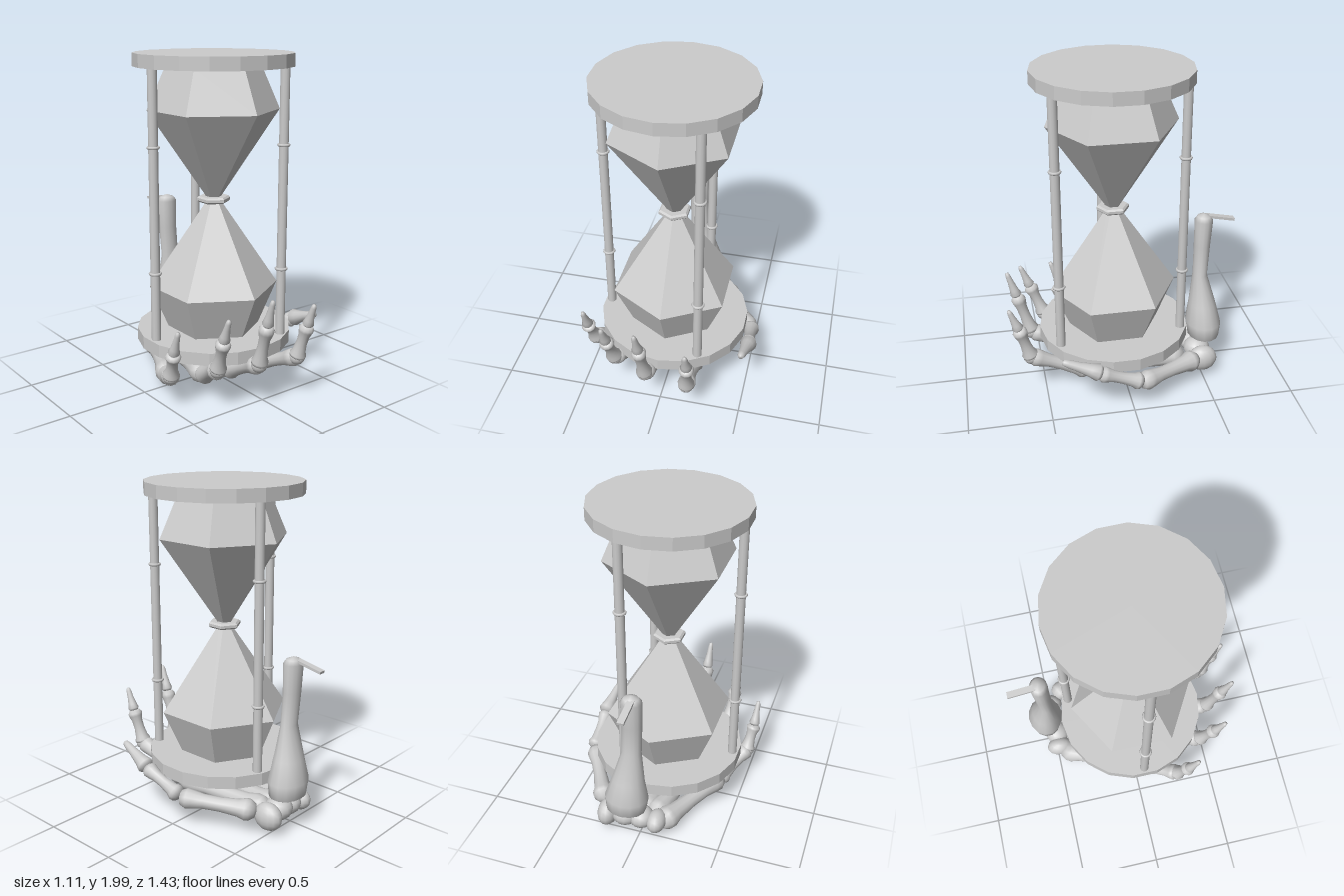
import * as THREE from 'three';
import { mergeVertices } from 'three/addons/utils/BufferGeometryUtils.js';

const CX = -0.01, CZ = 0.04; // axis of the hourglass
const UP = new THREE.Vector3(0, 1, 0);
const smoothMat = new THREE.MeshStandardMaterial({ color: 0xcccccc });
const flatMat = new THREE.MeshStandardMaterial({ color: 0xcccccc, flatShading: true });

function add(parent, name, geometry, material, x = 0, y = 0, z = 0) {
  const mesh = new THREE.Mesh(geometry, material);
  mesh.name = name;
  mesh.position.set(x, y, z);
  parent.add(mesh);
  return mesh;
}

const lathe = (profile, sides) =>
  new THREE.LatheGeometry(profile.map(([r, y]) => new THREE.Vector2(r, y)), sides);

// Bone profiles as [radius factor, fraction of length]
const LONG_BONE = [[0, -0.05], [0.75, -0.03], [1.15, 0.04], [1.2, 0.1], [0.95, 0.2], [0.78, 0.45],
  [0.8, 0.68], [1.02, 0.84], [1.1, 0.92], [0.8, 1], [0, 1.03]];
const TIP_BONE = [[0, 0], [0.8, 0.02], [1.1, 0.1], [0.85, 0.28], [0.6, 0.6], [0.5, 0.85], [0.35, 0.97], [0, 1]];

function bone(parent, name, from, to, radius, profile = LONG_BONE) {
  const a = new THREE.Vector3(...from), dir = new THREE.Vector3(...to).sub(a);
  const length = dir.length();
  const mesh = add(parent, name, lathe(profile.map(([r, t]) => [r * radius, t * length]), 12), smoothMat, ...from);
  mesh.quaternion.setFromUnitVectors(UP, dir.normalize());
}

function knuckle(parent, name, at, radius, sx = 1, sy = 1, sz = 1) {
  add(parent, name, new THREE.SphereGeometry(radius, 14, 10), smoothMat, ...at).scale.set(sx, sy, sz);
}

function buildHourglass() {
  const g = new THREE.Group();
  g.name = 'hourglass';
  g.position.set(CX, 0, CZ);

  // End plates
  for (const [name, y] of [['basePlate', 0.303], ['topPlate', 1.96]]) {
    add(g, name, new THREE.CylinderGeometry(0.47, 0.47, 0.076, 18), flatMat, 0, y, 0).rotation.y = Math.PI;
  }

  // Six-sided bulbs meeting at the neck
  add(g, 'lowerBulb', lathe([[0, 0.342], [0.28, 0.342], [0.392, 0.605], [0.035, 1.138]], 6), flatMat);
  add(g, 'upperBulb', lathe([[0.035, 1.138], [0.392, 1.67], [0.28, 1.922], [0, 1.922]], 6), flatMat);
  add(g, 'neckRing', lathe([[0.05, 1.12], [0.088, 1.12], [0.1, 1.13], [0.1, 1.146], [0.088, 1.156], [0.05, 1.156], [0.05, 1.12]], 6), flatMat);

  // Three posts, each with two collars
  for (const [x, z] of [[-0.425, 0], [0.224, 0.365], [0.155, -0.4]]) {
    const post = new THREE.Group();
    post.name = 'post';
    post.position.set(x, 0, z);
    add(post, 'postShaft', new THREE.CylinderGeometry(0.028, 0.028, 1.6, 12), smoothMat, 0, 1.13, 0);
    for (const y of [0.75, 1.487]) {
      add(post, 'postCollar', new THREE.TorusGeometry(0.03, 0.009, 6, 14), smoothMat, 0, y, 0).rotation.x = Math.PI / 2;
    }
    g.add(post);
  }
  return g;
}

function buildHand() {
  const g = new THREE.Group();
  g.name = 'skeletonHand';

  // Each finger: wrist end, knuckle, middle joint, last joint, tip
  const fingers = {
    indexFinger: [[0.09, 0.08, -0.38], [0.17, 0.105, 0.24], [0.185, 0.26, 0.59], [0.2, 0.47, 0.655], [0.2, 0.615, 0.71]],
    middleFinger: [[0.01, 0.075, -0.38], [-0.03, 0.105, 0.22], [-0.08, 0.27, 0.56], [-0.092, 0.53, 0.64], [-0.1, 0.7, 0.695]],
    ringFinger: [[-0.06, 0.08, -0.4], [-0.19, 0.1, 0.18], [-0.3, 0.26, 0.46], [-0.322, 0.46, 0.54], [-0.33, 0.61, 0.6]],
    littleFinger: [[-0.13, 0.09, -0.45], [-0.36, 0.095, 0.04], [-0.485, 0.2, 0.26], [-0.51, 0.36, 0.325], [-0.517, 0.515, 0.385]],
  };
  for (const [name, [w, k, m, l, tip]] of Object.entries(fingers)) {
    const finger = new THREE.Group();
    finger.name = name;
    bone(finger, 'metacarpal', w, k, 0.062);
    bone(finger, 'proximalPhalanx', k, m, 0.05);
    knuckle(finger, 'middleJoint', m, 0.048);
    bone(finger, 'middlePhalanx', m, l, 0.042);
    bone(finger, 'fingertip', l, tip, 0.032, TIP_BONE);
    g.add(finger);
  }

  // Thumb along the left side
  const thumb = new THREE.Group();
  thumb.name = 'thumb';
  bone(thumb, 'thumbMetacarpal', [0.265, 0.155, -0.43], [0.475, 0.19, -0.05], 0.055);
  bone(thumb, 'thumbPhalanx', [0.485, 0.205, -0.04], [0.5, 0.305, 0.21], 0.044);
  bone(thumb, 'thumbTip', [0.505, 0.31, 0.2], [0.482, 0.405, 0.43], 0.048, TIP_BONE);
  g.add(thumb);

  // Wrist bones
  knuckle(g, 'wristBone', [0.21, 0.12, -0.5], 0.085, 0.75, 1, 1.1);
  knuckle(g, 'wristBone', [0.1, 0.13, -0.49], 0.085, 1, 0.85, 1);
  knuckle(g, 'wristBone', [0.0, 0.12, -0.48], 0.08, 1, 0.85, 1);
  knuckle(g, 'wristBone', [-0.1, 0.11, -0.48], 0.075, 0.8, 0.9, 1.15);
  return g;
}

function buildForearm() {
  const g = new THREE.Group();
  g.name = 'forearm';
  // Cross-sections: y, centre x, centre z, half width, half depth
  const rings = [
    [0.19, 0.08, -0.54, 0, 0], [0.21, 0.08, -0.54, 0.08, 0.06], [0.23, 0.075, -0.535, 0.125, 0.1],
    [0.32, 0.07, -0.533, 0.135, 0.112], [0.45, 0.06, -0.525, 0.1, 0.086], [0.65, 0.04, -0.507, 0.06, 0.044],
    [0.85, 0.03, -0.515, 0.06, 0.05], [1.02, 0.03, -0.52, 0.065, 0.056], [1.045, 0.03, -0.52, 0.045, 0.04],
    [1.062, 0.03, -0.52, 0, 0],
  ];
  let geo = lathe(rings.map(r => [1, r[0]]), 14);
  const p = geo.attributes.position;
  for (let i = 0; i < p.count; i++) {
    const [y, cx, cz, rx, rz] = rings[i % rings.length];
    p.setXYZ(i, cx + p.getX(i) * rx, y, cz + p.getZ(i) * rz);
  }
  geo.deleteAttribute('uv');
  geo.deleteAttribute('normal');
  geo = mergeVertices(geo, 1e-4);
  geo.computeVertexNormals();
  add(g, 'forearmStump', geo, smoothMat);
  // Thin splinter leaning back from the top
  add(g, 'splinter', new THREE.BoxGeometry(0.04, 0.016, 0.18), flatMat, 0.022, 1.025, -0.625).rotation.x = -0.2;
  return g;
}

export function createModel() {
  const model = new THREE.Group();
  model.name = 'hourglassInSkeletonHand';
  model.add(buildHourglass(), buildHand(), buildForearm());
  return model;
}
